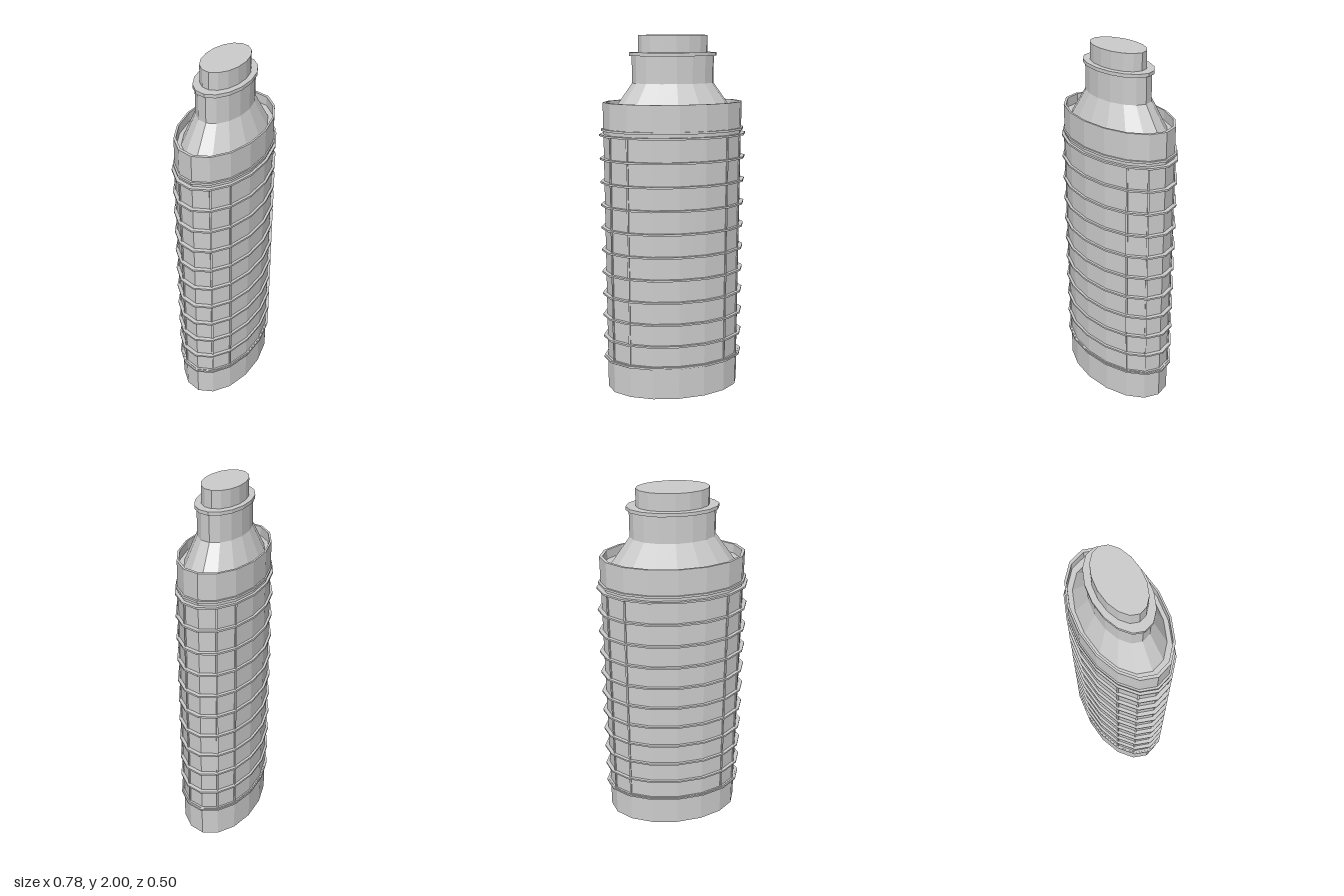
import * as THREE from 'three';

const SIDES = 16, RATIO = 0.583; // oval plan: depth / width

export function createModel() {
  const model = new THREE.Group();
  const oval = new THREE.Group();
  oval.name = 'tower';
  oval.rotation.y = THREE.MathUtils.degToRad(14.7);
  model.add(oval);
  const mat = new THREE.MeshStandardMaterial({ color: 0xcccccc, flatShading: true });
  const thin = mat.clone();
  thin.side = THREE.DoubleSide;

  function add(name, geometry, material = mat) {
    const mesh = new THREE.Mesh(geometry, material);
    mesh.name = name;
    oval.add(mesh);
    return mesh;
  }

  // Oval drum from y0 to y1 with half-lengths r0 (bottom) and r1 (top)
  function drum(name, r0, r1, y0, y1, open = false) {
    const g = new THREE.CylinderGeometry(r1, r0, y1 - y0, SIDES, 1, open);
    g.scale(1, 1, RATIO);
    g.translate(0, (y0 + y1) / 2, 0);
    return add(name, g, open ? thin : mat);
  }

  // Open base skirt below the closed core
  drum('baseSkirt', 0.381, 0.381, 0, 0.19, true);
  drum('core', 0.38, 0.38, 0.19, 1.6);

  // Parapet wall around the recessed roof
  const wall = [[0.381, 1.5], [0.381, 1.65], [0.364, 1.65], [0.364, 1.6]]
    .map(([r, y]) => new THREE.Vector2(r, y));
  const parapet = new THREE.LatheGeometry(wall, SIDES);
  parapet.scale(1, 1, RATIO);
  add('parapet', parapet, thin);

  // Floor bands and the ledges that end them
  for (let i = 0; i < 11; i++) {
    const y = 0.19 + i * 0.1285;
    drum('floorBand', 0.403, 0.403, y - 0.005, y + 0.005);
  }
  drum('lowerLedge', 0.393, 0.393, 0.18, 0.198);
  drum('upperLedge', 0.393, 0.393, 1.498, 1.51);

  // Slim posts on the tighter corners of the plan
  for (const k of [1, 2, 6, 7, 9, 10, 14, 15]) {
    const t = (k / SIDES) * Math.PI * 2;
    const post = add('post', new THREE.BoxGeometry(0.01, 1.285, 0.01));
    post.position.set(0.38 * Math.cos(t), 0.8325, 0.38 * RATIO * Math.sin(t));
    post.rotation.y = -Math.atan2(Math.sin(t), RATIO * Math.cos(t));
  }

  // Stepped crown
  drum('shoulder', 0.328, 0.222, 1.6, 1.75);
  drum('neck', 0.222, 0.222, 1.75, 1.9);
  drum('crownFlange', 0.237, 0.237, 1.892, 1.91);
  drum('cap', 0.187, 0.187, 1.91, 2);

  return model;
}
